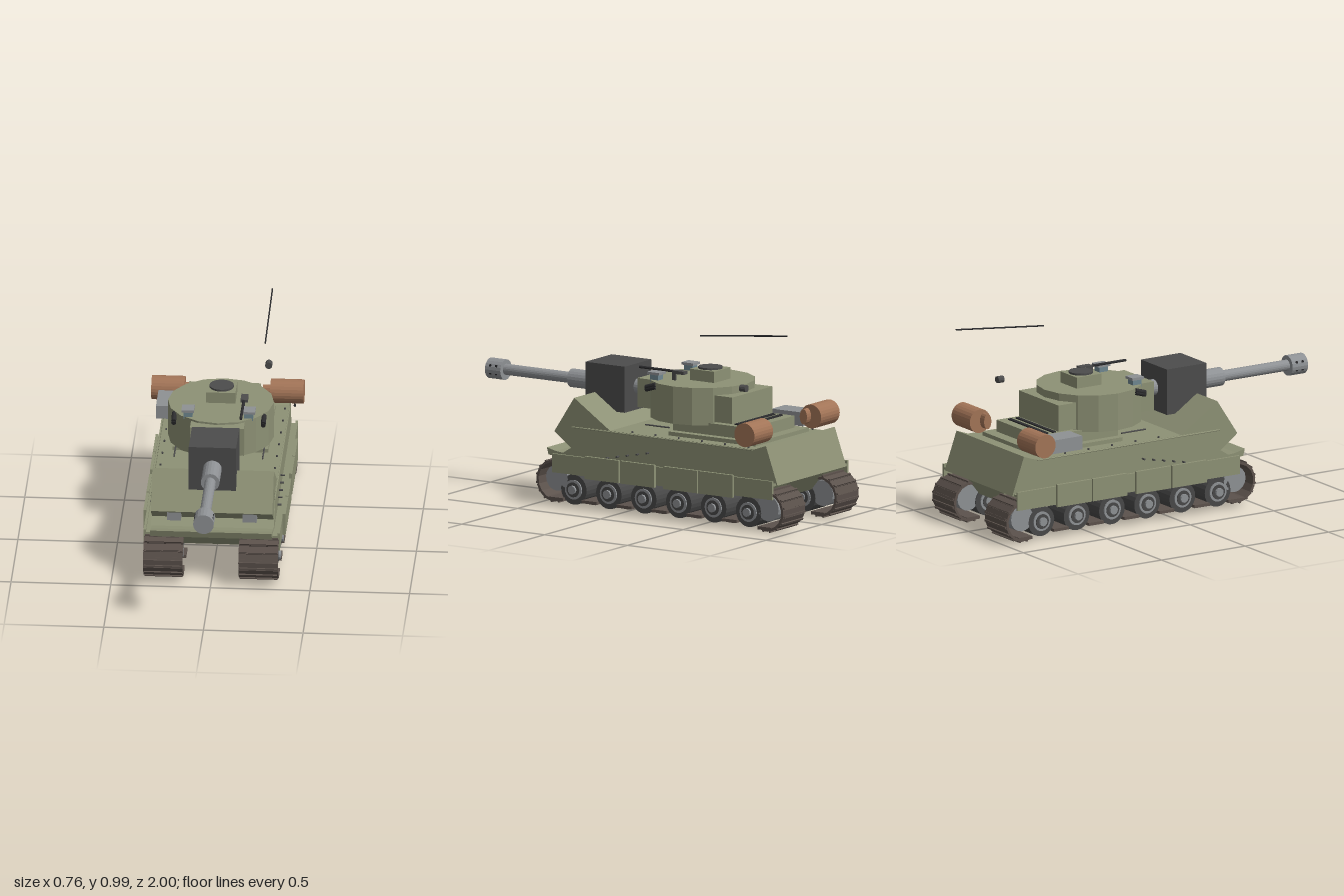
import * as THREE from 'three';

const mat = (color) => new THREE.MeshStandardMaterial({ color, flatShading: true });
const OLIVE = mat(0x8d9175), DARK = mat(0x4c4c4c), BLACK = mat(0x2c2c2e), TRACK = mat(0x5c524c);
const BROWN = mat(0xa27457), STEEL = mat(0x8e9194), TYRE = mat(0x484848), GLASS = mat(0x6f8790);

export function createModel() {
  const model = new THREE.Group();

  const add = (name, geometry, material, x = 0, y = 0, z = 0, parent = model) => {
    const mesh = new THREE.Mesh(geometry, material);
    mesh.name = name;
    mesh.position.set(x, y, z);
    parent.add(mesh);
    return mesh;
  };
  // Box given by its extents on each axis
  const box = (name, material, [x0, x1], [y0, y1], [z0, z1], parent) =>
    add(name, new THREE.BoxGeometry(x1 - x0, y1 - y0, z1 - z0), material,
      (x0 + x1) / 2, (y0 + y1) / 2, (z0 + z1) / 2, parent);
  // Cylinder between two positions on the x or z axis
  const rodX = (name, material, r, x0, x1, y, z, sides = 16, parent) =>
    add(name, new THREE.CylinderGeometry(r, r, Math.abs(x1 - x0), sides).rotateZ(Math.PI / 2), material,
      (x0 + x1) / 2, y, z, parent);
  const rodZ = (name, material, r, z0, z1, x, y, sides = 20, parent) =>
    add(name, new THREE.CylinderGeometry(r, r, z1 - z0, sides).rotateX(Math.PI / 2), material,
      x, y, (z0 + z1) / 2, parent);
  // Side profile of [z, y] points extruded across the width
  const profile = (name, material, points, half) => {
    const shape = new THREE.Shape(points.map(([z, y]) => new THREE.Vector2(z, y)));
    const geometry = new THREE.ExtrudeGeometry(shape, { depth: half * 2, bevelEnabled: false });
    geometry.translate(0, 0, -half).rotateY(-Math.PI / 2);
    return add(name, geometry, material);
  };

  // Hull
  profile('lowerHull', OLIVE, [[0.4, 0.26], [0.27, 0.135], [-0.83, 0.135], [-0.93, 0.26]], 0.16);
  profile('upperHull', OLIVE, [[0.4, 0.24], [0.305, 0.3], [0.2, 0.41], [-0.8, 0.41], [-0.87, 0.435], [-0.94, 0.24]], 0.308);
  profile('frontWedge', OLIVE, [[0.29, 0.555], [0.41, 0.372], [0.305, 0.295], [0.07, 0.408]], 0.305);
  profile('frontLip', OLIVE, [[0.455, 0.285], [0.445, 0.25], [0.3, 0.235], [0.3, 0.262], [0.4, 0.272]], 0.305);
  box('deckStep', OLIVE, [-0.24, 0.24], [0.4, 0.43], [-0.76, -0.235]);
  box('engineDeck', OLIVE, [-0.2, 0.2], [0.42, 0.49], [-0.7, -0.235]);
  for (const z of [-0.64, -0.595]) box('grilleBar', BLACK, [-0.17, 0.17], [0.485, 0.496], [z - 0.012, z + 0.008]);
  box('storageBox', STEEL, [-0.345, -0.225], [0.435, 0.505], [-0.735, -0.545]);

  // Fittings and running gear mirrored on both sides
  for (const s of [1, -1]) {
    const side = new THREE.Group();
    side.name = s > 0 ? 'leftSide' : 'rightSide';
    model.add(side);
    const sx = (a, b) => (s > 0 ? [a, b] : [-b, -a]);

    box('headlight', STEEL, sx(0.155, 0.225), [0.317, 0.365], [0.33, 0.395], side);
    rodZ('sideRail', OLIVE, 0.004, -0.79, 0.3, s * 0.309, 0.405, 8, side);
    rodZ('deckTool', DARK, 0.004, -0.23, -0.085, s * 0.222, 0.446, 8, side);
    for (let i = 0; i < 5; i++)
      rodX('sideBolt', DARK, 0.005, s * 0.3, s * 0.328, 0.273 + i * 0.0125, 0.08 - i * 0.06, 8, side);
    for (let z = -0.75; z < 0.1; z += 0.14)
      add('deckBolt', new THREE.CylinderGeometry(0.005, 0.005, 0.012, 8), DARK, s * 0.288, 0.412, z, side);

    // Skirt with overlapping plates
    box('fender', OLIVE, sx(0.28, 0.34), [0.238, 0.25], [-0.93, 0.4], side);
    box('skirt', OLIVE, sx(0.33, 0.342), [0.17, 0.265], [-0.93, 0.4], side);
    for (const z of [0.09, -0.125, -0.385, -0.597])
      box('skirtPlate', OLIVE, sx(0.342, 0.357), [0.16, 0.275], [z - 0.103, z + 0.103], side);

    // Fuel drum with an oval filler cap
    rodX('fuelDrum', BROWN, 0.061, s * 0.215, s * 0.382, 0.493, -0.79, 24, side);
    rodX('drumCap', BROWN, 0.022, s * 0.178, s * 0.215, 0.495, -0.768, 16, side).scale.y = 1.8;
    rodZ('drumBolt', BLACK, 0.006, -0.735, -0.72, s * 0.34, 0.445, 8, side);

    // Road wheels
    for (let i = 0; i < 6; i++) {
      const z = 0.283 - i * 0.211, y = 0.09;
      rodX('tyre', TYRE, 0.077, s * 0.165, s * 0.318, y, z, 24, side);
      rodX('wheelDisc', STEEL, 0.05, s * 0.158, s * 0.325, y, z, 20, side);
      rodX('wheelDish', TYRE, 0.038, s * 0.156, s * 0.328, y, z, 20, side);
      rodX('wheelHub', STEEL, 0.022, s * 0.15, s * 0.34, y, z, 12, side);
      // Ground link in the gap behind each wheel
      const linkZ = z - 0.105;
      if (i < 5) {
        box('groundLink', TRACK, sx(0.14, 0.338), [0.03, 0.045], [linkZ - 0.045, linkZ + 0.045], side);
        box('groundGrouser', TRACK, sx(0.17, 0.31), [0.022, 0.032], [linkZ - 0.02, linkZ + 0.02], side);
      }
    }
    box('groundLink', TRACK, sx(0.14, 0.338), [0.028, 0.043], [0.335, 0.42], side);
    box('groundLink', TRACK, sx(0.14, 0.338), [0.012, 0.028], [-0.92, -0.84], side);

    // Track arcs round the end wheels
    for (const [dir, cz, cy, r] of [[1, 0.39, 0.127, 0.098], [-1, -0.893, 0.108, 0.094]]) {
      rodX('endWheel', STEEL, 0.066, s * 0.17, s * 0.318, cy + 0.012, cz - dir * 0.005, 16, side);
      for (let i = 0; i <= 8; i++) {
        const a = Math.PI / 2 - (i / 8) * Math.PI * 1.04;
        const link = new THREE.Group();
        link.name = 'trackLink';
        link.position.set(s * 0.239, cy + r * Math.sin(a), cz + dir * r * Math.cos(a));
        link.rotation.x = dir * (Math.PI / 2 - a);
        side.add(link);
        add('linkPlate', new THREE.BoxGeometry(0.198, 0.013, 0.04), TRACK, 0, 0, 0, link);
        add('grouser', new THREE.BoxGeometry(0.19, 0.016, 0.01), TRACK, 0, 0.006, dir * 0.012, link);
      }
    }

    // Turret periscope and smoke launcher
    box('periscopeBody', GLASS, sx(0.13, 0.175), [0.655, 0.696], [-0.13, -0.08], side);
    box('periscopeCap', STEEL, sx(0.122, 0.185), [0.695, 0.708], [-0.14, -0.07], side);
    for (const y of [0.647, 0.636]) {
      const tube = rodZ('smokeLauncher', BLACK, 0.012, -0.15, -0.088, s * 0.225, y, 12, side);
      tube.rotation.x = 0.3;
    }
  }

  // Turret
  add('turretBody', new THREE.CylinderGeometry(0.266, 0.266, 0.19, 16), OLIVE, 0, 0.573, -0.28);
  box('turretBustle', OLIVE, [-0.18, 0.18], [0.495, 0.63], [-0.58, -0.4]);
  box('turretFront', OLIVE, [-0.135, 0.135], [0.51, 0.658], [-0.2, 0.022]);
  box('cupola', OLIVE, [-0.074, 0.074], [0.66, 0.725], [-0.4, -0.253]);
  add('hatch', new THREE.CylinderGeometry(0.061, 0.061, 0.012, 20), DARK, 0, 0.729, -0.327);

  // Main gun
  rodZ('gunNeck', STEEL, 0.04, 0, 0.13, 0, 0.587);
  box('mantlet', DARK, [-0.119, 0.119], [0.468, 0.703], [0.11, 0.348]);
  rodZ('gunSleeve', STEEL, 0.047, 0.34, 0.508, 0, 0.585);
  rodZ('barrel', STEEL, 0.028, 0.5, 0.92, 0, 0.585);
  rodZ('muzzleBrake', STEEL, 0.052, 0.907, 1, 0, 0.583);
  for (const z of [0.935, 0.97])
    for (const y of [0.565, 0.605]) rodX('muzzlePort', BLACK, 0.007, -0.049, 0.049, y, z, 8);

  // Roof machine gun
  rodZ('machineGunBarrel', BLACK, 0.007, -0.235, 0.02, 0.12, 0.713, 8);
  box('machineGunBreech', DARK, [0.104, 0.14], [0.704, 0.72], [-0.26, -0.19]);
  box('machineGunMount', DARK, [0.114, 0.126], [0.66, 0.71], [-0.2, -0.18]);

  // Antenna and its floating base
  rodZ('antennaBase', DARK, 0.018, -0.69, -0.655, 0.213, 0.693, 12);
  const antenna = rodZ('antenna', BLACK, 0.004, -0.264, 0.264, 0.213, 0.96, 6);
  antenna.position.z = -0.672;
  antenna.rotation.x = Math.atan2(0.055, 0.525);

  return model;
}
